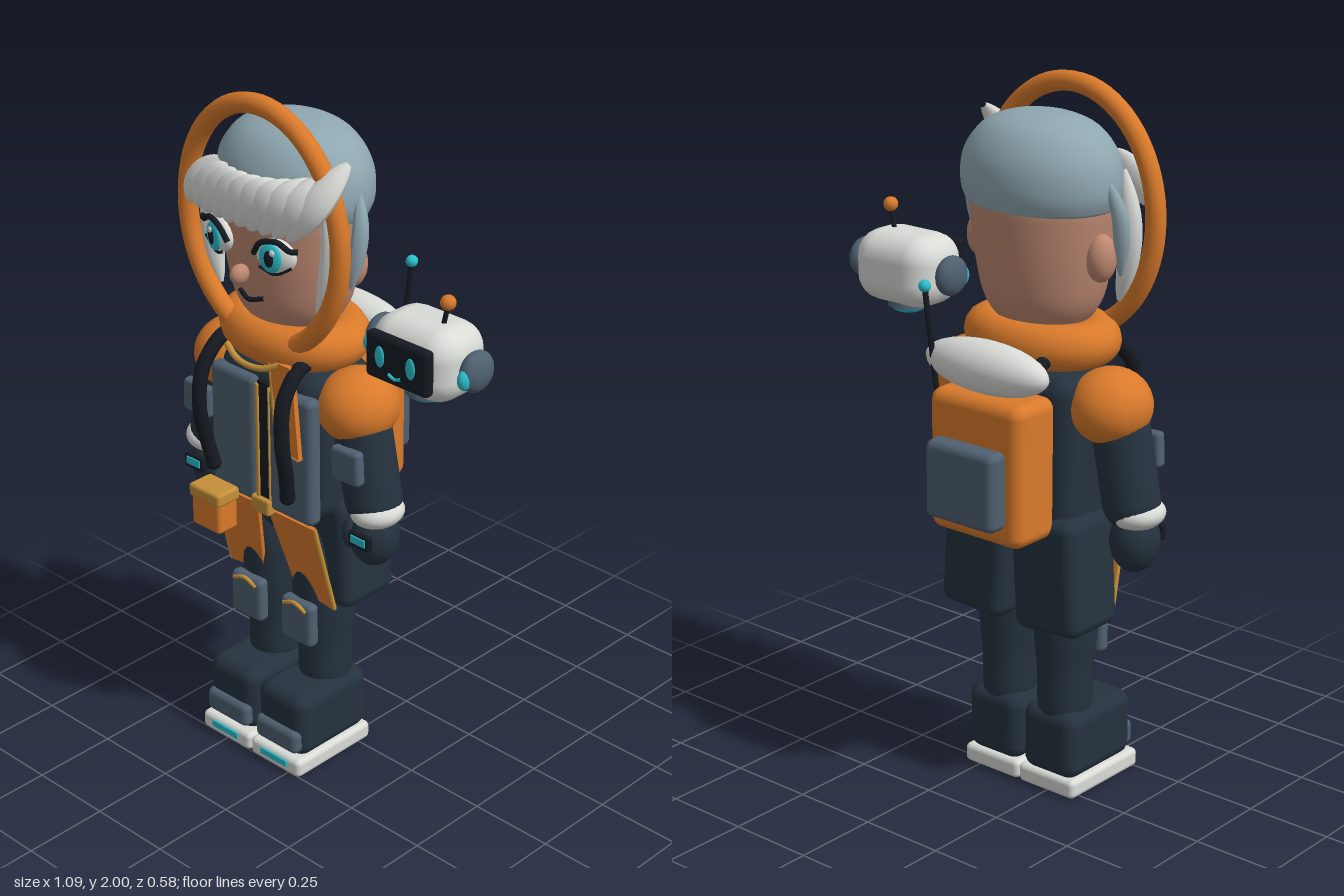
import * as THREE from 'three';
import { RoundedBoxGeometry } from 'three/addons/geometries/RoundedBoxGeometry.js';

const mat = (name, color, extra) => {
  const m = new THREE.MeshStandardMaterial({ color, ...extra });
  m.name = name;
  return m;
};
const V = (a) => new THREE.Vector3(...a);

export function createModel() {
  const orange = mat('orange', 0xd97a2b), navy = mat('navy', 0x25323e), slate = mat('slate', 0x4f6070);
  const white = mat('white', 0xd9dbd7), hair = mat('hairGrey', 0x8fa7b0), skin = mat('skin', 0xbd8871);
  const gold = mat('gold', 0xc48f3a), cyan = mat('cyan', 0x2cbfcc), black = mat('black', 0x151a21);

  const root = new THREE.Group();
  root.name = 'explorerWithDrone';
  const group = (name, parent, x = 0, y = 0, z = 0) => {
    const g = new THREE.Group();
    g.name = name;
    g.position.set(x, y, z);
    parent.add(g);
    return g;
  };
  const add = (parent, name, geo, m, p = [0, 0, 0], r = [0, 0, 0]) => {
    const o = new THREE.Mesh(geo, m);
    o.name = name;
    o.position.set(...p);
    o.rotation.set(...r);
    parent.add(o);
    return o;
  };
  const box = (w, h, d, r = 0.02) => new RoundedBoxGeometry(w, h, d, 3, Math.min(r, w / 2, h / 2, d / 2));
  const ball = (x, y, z) => new THREE.SphereGeometry(1, 28, 18).scale(x, y, z);
  const lathe = (pts, zScale = 1) => new THREE.LatheGeometry(
    new THREE.SplineCurve(pts.map((p) => new THREE.Vector2(...p))).getPoints(28)
      .map((p) => new THREE.Vector2(Math.max(p.x, 0), p.y)), 36).scale(1, 1, zScale);
  const tube = (pts, r, seg = 20) =>
    new THREE.TubeGeometry(new THREE.CatmullRomCurve3(pts.map(V)), seg, r, 10);
  const plate = (pts, depth) => new THREE.ExtrudeGeometry(
    new THREE.Shape(pts.map((p) => new THREE.Vector2(...p))), { depth, bevelEnabled: false });
  // Tube that swells in the middle and comes to a point, flattened in x or z
  const lock = (pts, r, flatX, flatZ) => {
    const seg = 16, rad = 10, curve = new THREE.CatmullRomCurve3(pts.map(V));
    const g = new THREE.TubeGeometry(curve, seg, r, rad), pos = g.attributes.position;
    for (let i = 0; i < pos.count; i++) {
      const t = Math.floor(i / (rad + 1)) / seg, c = curve.getPointAt(t);
      const f = Math.pow(Math.sin(Math.PI * (0.03 + 0.95 * t)), 0.6);
      pos.setXYZ(i, c.x + (pos.getX(i) - c.x) * f * flatX, c.y + (pos.getY(i) - c.y) * f,
        c.z + (pos.getZ(i) - c.z) * f * flatZ);
    }
    g.computeVertexNormals();
    return g;
  };

  const body = group('explorer', root, -0.15);

  // Head, hair cap and face
  const head = group('head', body, 0, 0, 0.058);
  add(head, 'face', lathe([[0, 1.33], [0.1, 1.335], [0.163, 1.4], [0.19, 1.5], [0.206, 1.62], [0.207, 1.7],
    [0.16, 1.81], [0, 1.86]], 0.87), skin);
  add(head, 'hairCap', lathe([[0, 1.67], [0.19, 1.665], [0.225, 1.685], [0.236, 1.74], [0.222, 1.81],
    [0.17, 1.875], [0.09, 1.908], [0, 1.915]], 0.78), hair, [0, 0, -0.012]);
  add(body, 'neck', new THREE.CylinderGeometry(0.1, 0.11, 0.2, 24), skin, [0, 1.3, 0.05]);
  add(body, 'nose', ball(0.022, 0.028, 0.03), skin, [0, 1.525, 0.258]);
  add(body, 'mouth', tube([[-0.045, 1.452, 0.212], [0, 1.443, 0.226], [0.045, 1.453, 0.212]], 0.007), black);
  for (const s of [-1, 1]) {
    add(body, 'ear', ball(0.04, 0.065, 0.045), skin, [s * 0.205, 1.55, 0.045]);
    const eye = group('eye', body, s * 0.106, 1.6, 0.225);
    eye.rotation.y = s * 0.25;
    add(eye, 'eyeWhite', ball(0.06, 0.048, 0.025), white);
    add(eye, 'iris', ball(0.034, 0.041, 0.01), cyan, [-s * 0.006, 0, 0.022]);
    add(eye, 'pupil', ball(0.015, 0.024, 0.006), black, [-s * 0.006, 0, 0.029]);
    add(eye, 'glint', ball(0.008, 0.009, 0.004), white, [0.006, 0.02, 0.034]);
    add(eye, 'upperLash', tube([[-s * 0.062, 0, 0.012], [-s * 0.035, 0.038, 0.022], [s * 0.015, 0.048, 0.022],
      [s * 0.052, 0.028, 0.018], [s * 0.072, 0.028, 0.01]], 0.008), black);
    add(eye, 'lowerLash', tube([[-s * 0.045, -0.034, 0.014], [0, -0.049, 0.012], [s * 0.055, -0.02, 0.012]], 0.004), black);
    add(body, 'eyebrow', tube([[s * 0.06, 1.672, 0.232], [s * 0.11, 1.683, 0.222], [s * 0.15, 1.668, 0.2]], 0.006), black);
    add(body, 'frontLock', lock([[s * 0.2, 1.77, 0.14], [s * 0.225, 1.64, 0.14], [s * 0.215, 1.52, 0.145],
      [s * 0.185, 1.41, 0.15]], 0.042, 0.85, 0.7), white);
    add(body, 'templeLock', lock([[s * 0.225, 1.76, 0.04], [s * 0.252, 1.66, 0.062], [s * 0.24, 1.5, 0.085]],
      0.03, 0.8, 0.75), hair);
  }
  // Swept fringe
  for (let i = 0; i < 10; i++) {
    const d = -0.215 + i * 0.043, q = d + 0.09 + i * 0.002;
    const top = 1.785 + 0.9 * q * q + (i === 9 ? 0.02 : 0);
    add(body, 'fringeLock', lock([[q, top, 0.215 - 1.0 * q * q], [d + 0.06, 1.765, 0.243 - 0.8 * d * d],
      [d + 0.015, 1.705, 0.25 - 0.6 * d * d], [d - 0.015, 1.66, 0.25 - 0.6 * d * d]], 0.046, 1, 0.5), white);
  }

  // Helmet ring and collar
  const ring = new THREE.CatmullRomCurve3(Array.from({ length: 24 }, (_, i) => {
    const a = i / 24 * Math.PI * 2;
    return new THREE.Vector3(0.285 * Math.cos(a), 1.635 + 0.337 * Math.sin(a), 0.172);
  }), true);
  add(body, 'helmetRing', new THREE.TubeGeometry(ring, 72, 0.028, 12, true), orange);
  add(body, 'collar', new THREE.TorusGeometry(0.165, 0.07, 16, 40).rotateX(Math.PI / 2).scale(1, 0.9, 0.75),
    orange, [0, 1.305, 0.055]);
  add(body, 'collarTrim', tube([[-0.1, 1.275, 0.215], [-0.05, 1.255, 0.23], [0, 1.25, 0.235], [0.05, 1.255, 0.23],
    [0.1, 1.275, 0.215]], 0.009), gold);

  // Jacket
  add(body, 'torso', box(0.39, 0.45, 0.25, 0.06), navy, [0, 1.01, 0.05]);
  add(body, 'hips', ball(0.15, 0.11, 0.11), navy, [0, 0.77, 0.045]);
  for (const s of [-1, 1]) add(body, 'jacketPanel', box(0.175, 0.385, 0.05), slate, [s * 0.107 + 0.003, 0.995, 0.175]);
  add(body, 'zipStrip', box(0.045, 0.4, 0.02, 0.005), black, [0.02, 0.995, 0.192]);
  add(body, 'zipTrim', box(0.012, 0.38, 0.012, 0.004), gold, [0, 0.995, 0.202]);
  add(body, 'zipTrim', box(0.006, 0.38, 0.01, 0.003), gold, [0.043, 0.995, 0.2]);
  add(body, 'buckle', box(0.07, 0.05, 0.03, 0.008), gold, [0.013, 0.813, 0.2]);
  add(body, 'lapel', plate([[0.1, 1.03], [0.17, 1.01], [0.145, 1.28], [0.06, 1.28]], 0.015), orange, [0, 0, 0.201]);
  add(body, 'lapelTrim', tube([[0.06, 1.28, 0.212], [0.1, 1.03, 0.212], [0.17, 1.01, 0.212]], 0.006), gold);
  add(body, 'lapelTag', box(0.025, 0.03, 0.008, 0.003), white, [0.08, 1.085, 0.205]);

  for (const s of [-1, 1]) {
    // Air hoses
    add(body, 'hose', tube([[s * 0.15, 1.28, 0.13], [s * 0.15, 1.272, 0.19], [s * 0.155, 1.2, 0.255],
      [s * 0.16, 1.08, 0.268], [s * 0.155, 0.98, 0.25], [s * 0.145, 0.9, 0.235]], 0.021, 32), black);
    add(body, 'hoseEnd', ball(0.022, 0.022, 0.022), black, [s * 0.145, 0.9, 0.235]);

    // Arms
    const arm = group('arm', body);
    add(arm, 'shoulder', ball(0.112, 0.105, 0.118), orange, [s * 0.238, 1.15, 0.055]);
    add(arm, 'sleeve', new THREE.CapsuleGeometry(0.08, 0.2, 8, 24), navy, [s * 0.285, 0.99, 0.065], [0, 0, s * 0.2]);
    add(arm, 'armPad', box(0.1, 0.1, 0.035, 0.012), slate, [s * 0.29, 1.02, 0.15], [0, 0, s * 0.05]);
    add(arm, 'cuff', ball(0.073, 0.045, 0.078), white, [s * 0.325, 0.862, 0.07], [0, 0, s * 0.1]);
    add(arm, 'glove', ball(0.068, 0.092, 0.072), navy, [s * 0.315, 0.785, 0.07]);
    add(arm, 'thumb', ball(0.026, 0.045, 0.03), navy, [s * 0.272, 0.79, 0.115]);
    add(arm, 'wristScreen', box(0.075, 0.045, 0.02, 0.006), black, [s * 0.325, 0.795, 0.138]);
    add(arm, 'wristLight', box(0.055, 0.025, 0.008, 0.003), cyan, [s * 0.325, 0.797, 0.147]);

    // Coat tails and front flaps
    add(body, 'coatTail', box(0.22, 0.335, 0.205, 0.035), navy, [s * 0.125, 0.672, 0.003], [0, 0, s * 0.06]);
    const flap = group('frontFlap', body, 0, 0.8, 0.178);
    flap.rotation.x = 0.237;
    const pts = [[0.02, 0], [0.065, -0.27], [0.205, -0.29], [0.195, 0]].map(([x, y]) => [s * x, y]);
    add(flap, 'flapCloth', plate(pts, 0.012), orange);
    add(flap, 'flapTrim', tube([[s * 0.195, 0, 0.006], [s * 0.205, -0.29, 0.006]], 0.007), gold);

    // Legs
    const leg = group('leg', body, s * 0.1);
    add(leg, 'trouserLeg', lathe([[0, 0.2], [0.068, 0.22], [0.076, 0.35], [0.087, 0.48], [0.091, 0.6],
      [0.082, 0.68], [0.055, 0.75], [0, 0.78]], 1.08), navy, [0, 0, 0.045]);
    add(leg, 'kneePad', box(0.12, 0.135, 0.04, 0.015), slate, [0, 0.45, 0.148]);
    add(leg, 'kneeChevron', tube([[-0.045, 0.498, 0.168], [0, 0.515, 0.17], [0.045, 0.498, 0.168]], 0.006), gold);
    add(leg, 'boot', box(0.188, 0.2, 0.28, 0.04), navy, [0, 0.15, 0.1]);
    add(leg, 'toeCap', box(0.165, 0.075, 0.05, 0.02), slate, [0, 0.108, 0.232]);
    add(leg, 'sole', box(0.198, 0.056, 0.3, 0.016), white, [0, 0.03, 0.109]);
    add(leg, 'soleLight', box(0.105, 0.022, 0.008, 0.003), cyan, [0, 0.036, 0.26]);
  }

  // Belt pouch
  add(body, 'pouch', box(0.112, 0.11, 0.075, 0.012), orange, [-0.143, 0.755, 0.238]);
  add(body, 'pouchLid', box(0.122, 0.04, 0.085, 0.01), gold, [-0.143, 0.81, 0.238]);

  // Backpack with bedroll and aerial
  const pack = group('backpack', body);
  add(pack, 'packBody', box(0.32, 0.4, 0.165, 0.035), orange, [0, 0.99, -0.152]);
  add(pack, 'packPocket', box(0.238, 0.22, 0.07, 0.022), slate, [0, 0.957, -0.26]);
  add(pack, 'bedroll', ball(0.207, 0.072, 0.07), white, [0, 1.263, -0.175]);
  for (const s of [-1, 1])
    add(pack, 'packHose', tube([[s * 0.11, 1.27, -0.02], [s * 0.12, 1.28, -0.08], [s * 0.12, 1.24, -0.14]], 0.02), black);
  add(pack, 'aerial', tube([[0.145, 1.14, -0.205], [0.175, 1.46, -0.222]], 0.008), black);
  add(pack, 'aerialTip', ball(0.017, 0.017, 0.017), cyan, [0.175, 1.462, -0.222]);

  // Hovering drone
  const drone = group('drone', root, 0.35, 1.4, 0.07);
  add(drone, 'droneBody', box(0.28, 0.205, 0.205, 0.075), white);
  add(drone, 'droneScreen', box(0.215, 0.13, 0.035, 0.014), black, [0, 0.008, 0.108]);
  for (const s of [-1, 1]) {
    add(drone, 'droneEye', ball(0.016, 0.03, 0.005), cyan, [s * 0.053, 0.014, 0.127]);
    add(drone, 'sidePod', ball(0.033, 0.057, 0.057), slate, [s * 0.163, 0, -0.003]);
    add(drone, 'podLight', ball(0.018, 0.03, 0.025), cyan, [s * 0.163, -0.008, 0.04]);
  }
  add(drone, 'droneSmile', tube([[-0.022, -0.026, 0.126], [0, -0.034, 0.126], [0.022, -0.026, 0.126]], 0.005), cyan);
  add(drone, 'thrusterRing', new THREE.CylinderGeometry(0.055, 0.06, 0.03, 24), slate, [0, -0.098, 0]);
  add(drone, 'thruster', ball(0.055, 0.026, 0.055), cyan, [0, -0.108, 0]);
  add(drone, 'droneAerial', tube([[0.05, 0.09, 0], [0.07, 0.16, 0.005]], 0.007), black);
  add(drone, 'droneAerialTip', ball(0.021, 0.021, 0.021), orange, [0.07, 0.165, 0.005]);

  return root;
}
